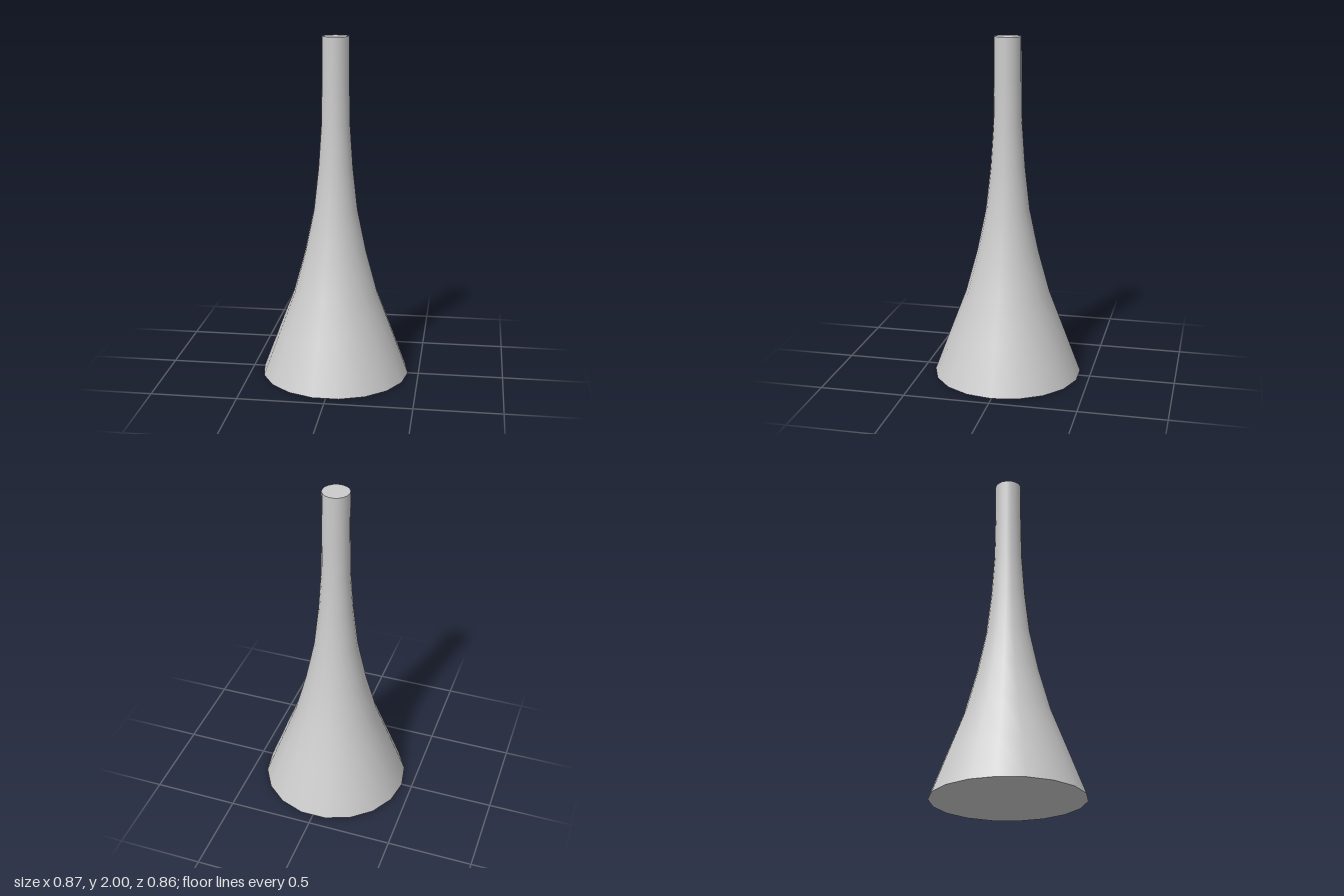
import * as THREE from 'three';

const SIDES = 18;
// Radii of rings spaced evenly from the base to the top
const RADII = [0.437, 0.343, 0.248, 0.18, 0.128, 0.1, 0.083, 0.079, 0.078];
const HEIGHT = 2;

export function createModel() {
  const group = new THREE.Group();
  group.name = 'flaredColumn';
  const material = new THREE.MeshStandardMaterial({ color: 0xcccccc });

  function add(name, geometry, y = 0) {
    const mesh = new THREE.Mesh(geometry, material);
    mesh.name = name;
    mesh.position.y = y;
    group.add(mesh);
  }

  // Smooth flared wall, with a corner on the x axis
  const profile = RADII.map((r, i) => new THREE.Vector2(r, (i * HEIGHT) / (RADII.length - 1)));
  add('flaredWall', new THREE.LatheGeometry(profile, SIDES, Math.PI / 2));

  // Flat caps closing both ends
  add('baseCap', new THREE.CircleGeometry(RADII[0], SIDES).rotateX(Math.PI / 2));
  add('topCap', new THREE.CircleGeometry(RADII.at(-1), SIDES).rotateX(-Math.PI / 2), HEIGHT);

  return group;
}
